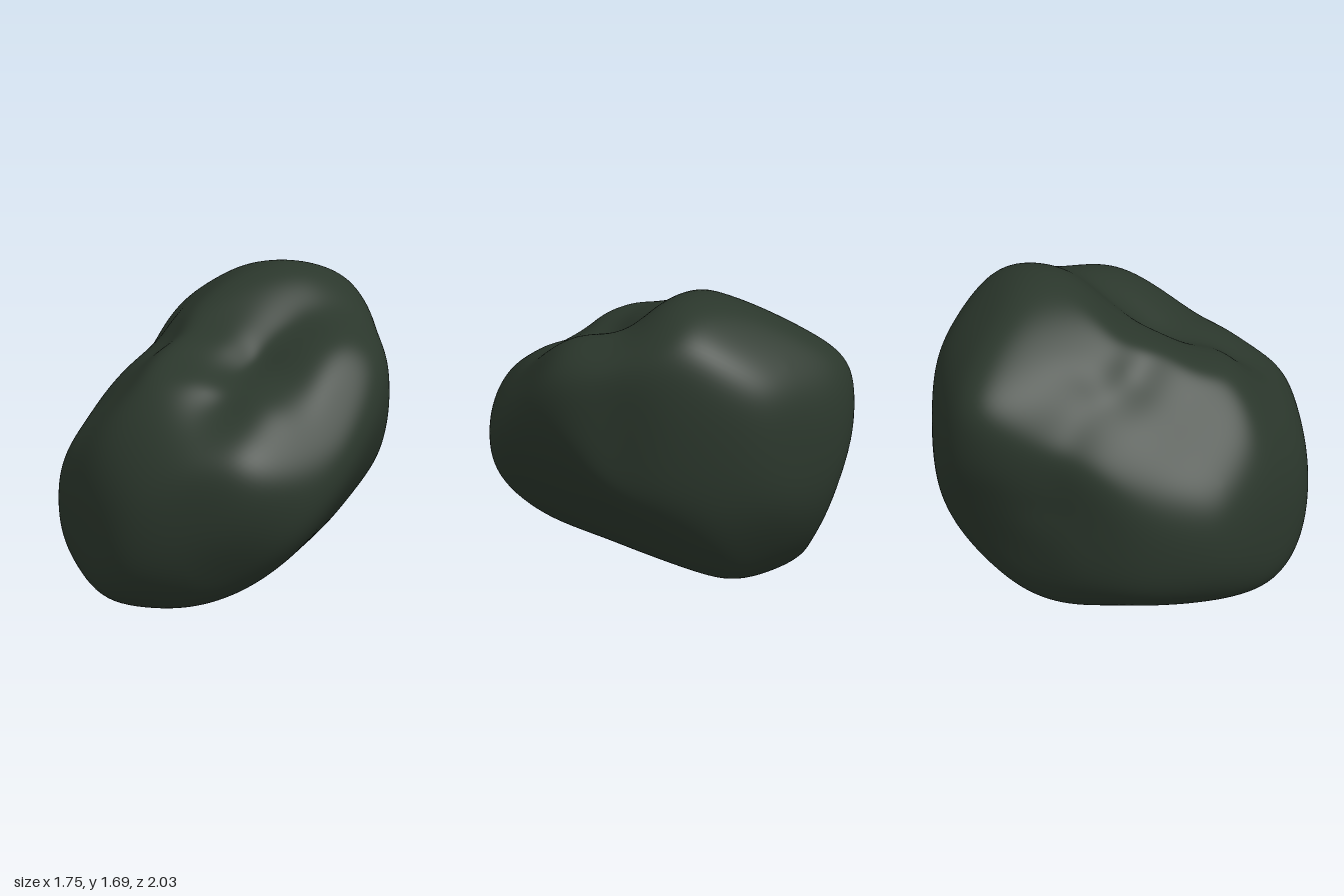
import * as THREE from 'three';
import { mergeVertices } from 'three/addons/utils/BufferGeometryUtils.js';

const V = (x, y, z) => new THREE.Vector3(x, y, z);

// A contour: a closed outline in the plane (right, up), as radii at 16 equal angles
const contour = (right, up, radii) => ({ right, up, radii });

// A contour on a plane tilted 30 degrees, facing a diagonal
function diagonal(sx, sz, tilt, radii) {
  const h = Math.SQRT1_2, s = 0.5 * tilt, c = Math.cos(Math.PI / 6);
  return contour(V(sz * h, 0, -sx * h), V(-s * sx * h, c, -s * sz * h), radii);
}

const contours = [
  contour(V(1, 0, 0), V(0, 1, 0),
    [0.80, 0.945, 0.92, 0.91, 0.80, 0.70, 0.67, 0.68, 0.79, 0.95, 1.03, 0.92, 0.79, 0.72, 0.69, 0.71]),
  contour(V(0, 0, -1), V(0, 1, 0),
    [1.0, 1.02, 0.98, 0.93, 0.68, 0.63, 0.65, 0.88, 1.0, 1.08, 1.11, 0.86, 0.80, 0.92, 0.97, 0.98]),
  contour(V(1, 0, 0), V(0, 0, -1),
    [0.85, 0.775, 0.83, 0.93, 0.98, 1.05, 0.86, 0.77, 0.83, 0.94, 0.98, 1.05, 1.0, 1.02, 0.96, 0.90]),
  diagonal(1, 1, 1,
    [0.86, 0.95, 1.04, 0.99, 0.84, 0.64, 0.63, 0.70, 0.91, 1.06, 1.24, 1.04, 0.81, 0.765, 0.72, 0.78]),
  diagonal(-1, -1, 1,
    [0.95, 0.83, 0.74, 0.70, 0.66, 0.86, 0.97, 0.92, 0.87, 0.88, 0.90, 0.96, 1.0, 0.98, 1.07, 1.08]),
  diagonal(1, -1, -1,
    [0.87, 1.07, 1.07, 1.02, 1.02, 0.95, 0.98, 0.99, 1.0, 1.01, 1.03, 1.16, 1.14, 1.06, 0.95, 0.82]),
];

// The sloping right front face: a plane at a distance from the middle
const facet = { normal: V(0.58, 0.55, 0.6).normalize(), distance: 0.8 };

// Smooth periodic interpolation of the radii
function radiusAt(radii, angle) {
  const n = radii.length;
  const t = ((angle / (2 * Math.PI)) * n + n) % n;
  const i = Math.floor(t), f = t - i;
  const [a, b, c, d] = [-1, 0, 1, 2].map((k) => radii[(i + k + n) % n]);
  return b + 0.5 * f * (c - a + f * (2 * a - 5 * b + 4 * c - d + f * (3 * (b - c) + d - a)));
}

// A hollow in the surface, running along a path of directions
const hollow = (width, depth, ...points) => ({
  width, depth,
  path: new THREE.CatmullRomCurve3(points.map((q) => q.normalize())).getPoints(16).map((q) => q.normalize()),
});

const hollows = [
  // valley behind the right ridge, running down the front
  hollow(0.25, 0.1, V(0.25, 0.4, -0.05), V(0.13, 0.3, 0.2), V(0.1, 0.25, 0.5)),
  // shallow basin on top
  hollow(0.4, 0.05, V(-0.25, 0.38, 0.05), V(0.05, 0.4, 0.15)),
  // cleft on the left side
  hollow(0.22, 0.05, V(-0.6, -0.1, -0.46), V(-0.5, 0.2, -0.35), V(-0.4, 0.35, -0.25)),
];

// Distance from the middle to the surface along a direction:
// a soft minimum of the contours and the facet, less the hollows
function surfaceRadius(dir) {
  const p = 30, margin = 1.03;
  let sum = Math.max(0, dir.dot(facet.normal) / facet.distance) ** p;
  for (const { right, up, radii } of contours) {
    const u = dir.dot(right), v = dir.dot(up);
    sum += (Math.hypot(u, v) / radiusAt(radii, Math.atan2(v, u))) ** p;
  }
  let r = margin * sum ** (-1 / p);
  for (const { path, width, depth } of hollows) {
    const near = Math.min(...path.map((q) => q.distanceToSquared(dir)));
    r -= depth * Math.exp(-near / width ** 2);
  }
  return r;
}

// Soften creases by moving each vertex to the mean of its neighbours
function soften(geometry, rounds) {
  const pos = geometry.attributes.position, index = geometry.index.array;
  for (let round = 0; round < rounds; round++) {
    const sums = new Float32Array(pos.count * 3), counts = new Float32Array(pos.count);
    for (let i = 0; i < index.length; i++) {
      const a = index[i], b = index[i % 3 === 2 ? i - 2 : i + 1];
      sums[a * 3] += pos.getX(b);
      sums[a * 3 + 1] += pos.getY(b);
      sums[a * 3 + 2] += pos.getZ(b);
      counts[a]++;
    }
    for (let i = 0; i < pos.count; i++) {
      pos.setXYZ(i, ...[0, 1, 2].map((k) => sums[i * 3 + k] / counts[i]));
    }
  }
}

export function createModel() {
  const group = new THREE.Group();
  group.name = 'boulder';

  // An even sphere with shared vertices, shaped along each direction
  let geometry = new THREE.IcosahedronGeometry(1, 36);
  geometry.deleteAttribute('uv');
  geometry.deleteAttribute('normal');
  geometry = mergeVertices(geometry, 1e-4);
  const pos = geometry.attributes.position;
  const dir = V(0, 0, 0);
  for (let i = 0; i < pos.count; i++) {
    dir.fromBufferAttribute(pos, i).normalize();
    dir.multiplyScalar(surfaceRadius(dir));
    pos.setXYZ(i, dir.x, dir.y, dir.z);
  }
  soften(geometry, 6);

  // Centre it and stand it on the ground
  geometry.center();
  geometry.computeBoundingBox();
  geometry.translate(0, -geometry.boundingBox.min.y, 0);
  geometry.computeVertexNormals();

  const rock = new THREE.Mesh(geometry, new THREE.MeshStandardMaterial({ color: 0x2b372c }));
  rock.name = 'rock';
  group.add(rock);
  return group;
}
